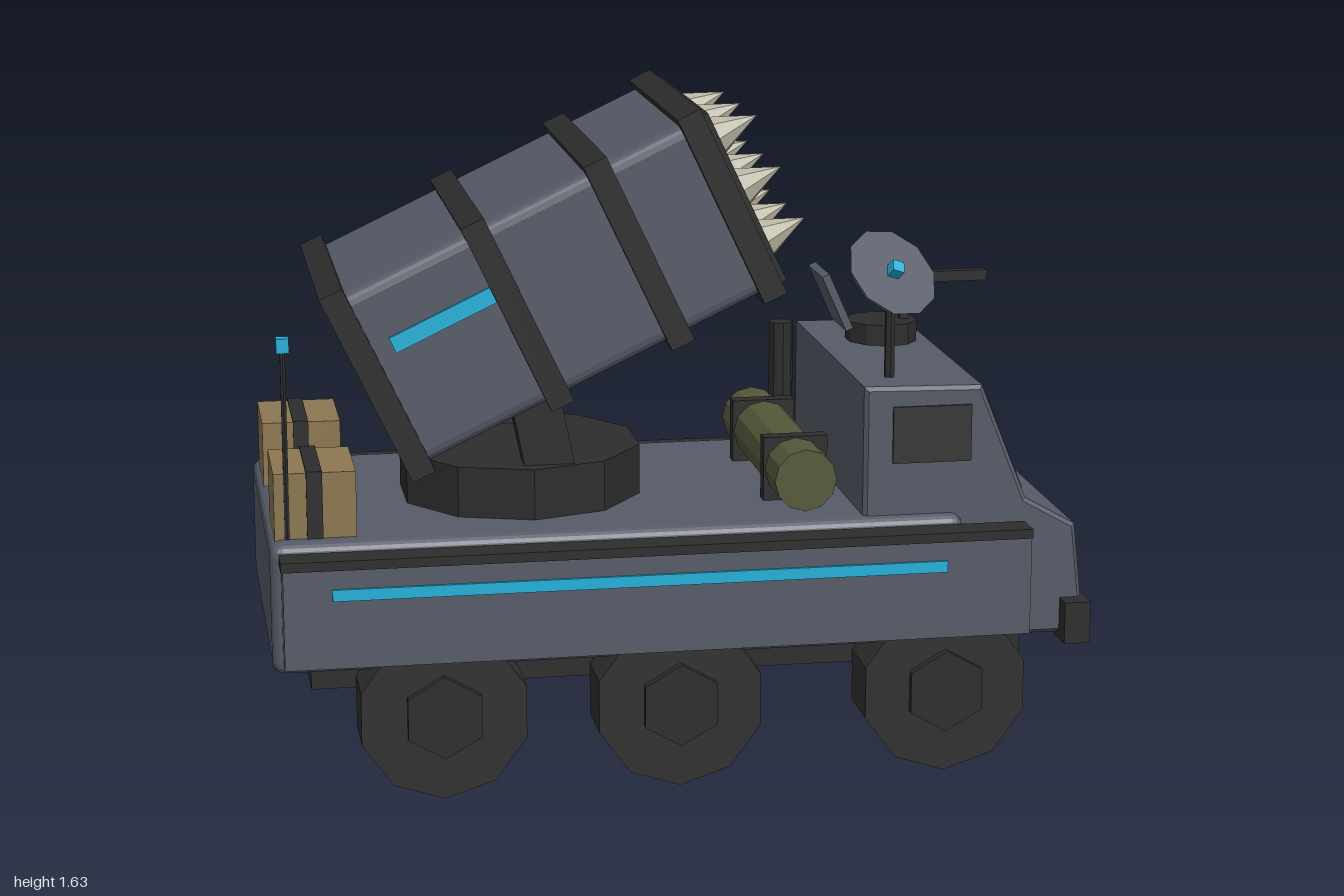
import * as THREE from 'three';
import { RoundedBoxGeometry } from 'three/addons/geometries/RoundedBoxGeometry.js';

const mat = (name, color, flatShading = true) => {
  const m = new THREE.MeshStandardMaterial({ color, flatShading });
  m.name = name;
  return m;
};

export function createModel() {
  const armour = mat('armour grey', 0x565b68);
  const dark = mat('dark metal', 0x2d2d2d);
  const rubber = mat('tyre rubber', 0x303030);
  const glass = mat('window glass', 0x353535);
  const cyan = mat('cyan light', 0x22b0d8);
  const wood = mat('crate tan', 0x8c7751);
  const olive = mat('tank olive', 0x56583a);
  const cream = mat('missile cream', 0xb8b3a0);

  const root = new THREE.Group();
  root.name = 'launcherTruck';

  const add = (name, geo, m, x = 0, y = 0, z = 0, parent = root) => {
    const mesh = new THREE.Mesh(geo, m);
    mesh.name = name;
    mesh.position.set(x, y, z);
    parent.add(mesh);
    return mesh;
  };
  // box given by its extents on each axis
  const box = (name, m, x0, x1, y0, y1, z0, z1, parent = root) =>
    add(name, new THREE.BoxGeometry(x1 - x0, y1 - y0, z1 - z0), m,
      (x0 + x1) / 2, (y0 + y1) / 2, (z0 + z1) / 2, parent);
  const cyl = (r, h, sides, r2 = r) => new THREE.CylinderGeometry(r, r2, h, sides);

  // hull and chassis
  add('hull', new RoundedBoxGeometry(1.68, 0.32, 0.88, 2, 0.03), armour, -0.16, 0.47, 0);
  box('chassis', dark, -0.905, 0.855, 0.24, 0.33, -0.335, 0.335);

  // cab and nose, one side profile swept across the width
  const profile = new THREE.Shape([
    [0.445, 0.6], [0.445, 0.94], [0.72, 0.935], [0.835, 0.65], [0.96, 0.58],
    [0.98, 0.4], [0.96, 0.32], [0.6, 0.32], [0.6, 0.6],
  ].map(([x, y]) => new THREE.Vector2(x, y)));
  add('cab', new THREE.ExtrudeGeometry(profile, {
    depth: 0.79, bevelEnabled: true, bevelSize: 0.01, bevelThickness: 0.01, bevelSegments: 1,
  }), armour, 0, 0, -0.395);

  // windscreen lies on the slope of the cab
  const windscreen = add('windscreen', new THREE.BoxGeometry(0.012, 0.275, 0.7), glass, 0.79, 0.797, 0);
  windscreen.rotation.z = Math.atan2(0.115, 0.285);
  box('windscreenLight', cyan, 0.835, 0.855, 0.66, 0.676, -0.3, 0.3);
  box('grille', dark, 0.95, 0.99, 0.4, 0.51, -0.163, 0.163);
  box('bumper', dark, 0.935, 1, 0.295, 0.4, -0.455, 0.455);

  // sides
  for (const s of [-1, 1]) {
    const side = (name, m, x0, x1, y0, y1, za, zb) =>
      box(name, m, x0, x1, y0, y1, Math.min(s * za, s * zb), Math.max(s * za, s * zb));
    side('sideSkirt', armour, -0.975, 0.83, 0.345, 0.59, 0.43, 0.51);
    side('skirtRail', dark, -0.98, 0.83, 0.587, 0.61, 0.44, 0.518);
    side('sideStripe', cyan, -0.86, 0.62, 0.512, 0.54, 0.509, 0.517);
    side('sideWindow', glass, 0.505, 0.7, 0.76, 0.9, 0.4, 0.412);
    side('headlight', cyan, 0.965, 0.99, 0.495, 0.535, 0.22, 0.34);

    // wheels with hexagonal hubs
    for (const x of [-0.6, -0.03, 0.625]) {
      const wheel = new THREE.Group();
      wheel.name = 'wheel';
      wheel.position.set(x, 0.208, s * 0.415);
      wheel.rotation.x = Math.PI / 2;
      root.add(wheel);
      add('tyre', cyl(0.208, 0.15, 10), rubber, 0, 0, 0, wheel);
      add('hub', cyl(0.102, 0.19, 6), dark, 0, 0, 0, wheel);
    }

    // strapped crates on the rear deck
    side('crate', wood, -0.985, -0.79, 0.625, 0.79, 0.135, 0.38);
    side('crateStrap', dark, -0.908, -0.87, 0.625, 0.794, 0.13, 0.386);
  }

  // fuel tank across the deck, with brackets
  add('fuelTank', cyl(0.077, 0.69, 12), olive, 0.305, 0.71, 0).rotation.x = Math.PI / 2;
  for (const z of [-0.2, 0.2]) box('tankBracket', dark, 0.225, 0.385, 0.62, 0.79, z - 0.02, z + 0.02);
  add('exhaust', cyl(0.032, 0.335, 8), dark, 0.39, 0.787, -0.375);

  // antenna
  add('antenna', cyl(0.007, 0.48, 6), dark, -0.955, 0.86, 0.378);
  add('antennaTip', new THREE.BoxGeometry(0.03, 0.035, 0.03), cyan, -0.955, 1.1, 0.378);

  // turntable and arms
  add('turntable', cyl(0.305, 0.13, 10), dark, -0.355, 0.69, 0);
  for (const z of [-0.22, 0.22]) {
    add('supportArm', new THREE.BoxGeometry(0.12, 0.32, 0.08), dark, -0.333, 0.86, z).rotation.z = 0.2;
  }

  // tilted missile pod
  const pod = new THREE.Group();
  pod.name = 'missilePod';
  pod.position.set(-0.308, 1.19, 0);
  pod.rotation.z = 0.443;
  root.add(pod);
  add('podBody', new RoundedBoxGeometry(0.97, 0.455, 0.695, 2, 0.03), armour, 0, 0, 0, pod);
  for (const x of [-0.47, -0.1, 0.222, 0.47]) {
    // hollow band round the pod
    for (const s of [-1, 1]) {
      add('bandSide', new THREE.BoxGeometry(0.06, 0.495, 0.04), dark, x, 0, s * 0.345, pod);
      add('bandEdge', new THREE.BoxGeometry(0.06, 0.04, 0.69), dark, x, s * 0.2275, 0, pod);
    }
  }
  box('podFrontPlate', dark, 0.47, 0.515, -0.225, 0.225, -0.335, 0.335, pod);
  box('podRearPlate', armour, -0.495, -0.47, -0.215, 0.215, -0.33, 0.33, pod);
  for (const s of [-1, 1]) {
    box('podStripe', cyan, -0.395, -0.125, 0.05, 0.09, s * 0.351 - 0.005, s * 0.351 + 0.005, pod);
  }
  for (const y of [-0.14, 0, 0.14]) {
    for (const z of [-0.21, 0, 0.21]) {
      add('missileTip', new THREE.ConeGeometry(0.055, 0.12, 8), cream, 0.573, y, z, pod).rotation.z = -Math.PI / 2;
    }
  }

  // radar dish facing up and outward
  add('radarPost', cyl(0.013, 0.25, 6), dark, 0.522, 1.07, 0.288);
  const dish = new THREE.Group();
  dish.name = 'radarDish';
  dish.position.set(0.522, 1.2, 0.282);
  dish.quaternion.setFromUnitVectors(new THREE.Vector3(0, 1, 0), new THREE.Vector3(0.33, 0.64, 0.69).normalize());
  root.add(dish);
  add('dishPlate', cyl(0.122, 0.025, 10, 0.105), armour, 0, 0, 0, dish);
  add('dishEmitter', new THREE.BoxGeometry(0.03, 0.035, 0.03), cyan, 0, 0.025, 0, dish);

  // roof hatch and gun
  add('hatchRing', cyl(0.092, 0.055, 10), dark, 0.605, 0.973, -0.15);
  add('hatchLid', new THREE.BoxGeometry(0.02, 0.155, 0.17), armour, 0.472, 1.063, -0.15).rotation.z = 0.42;
  box('gunPost', dark, 0.652, 0.676, 0.99, 1.1, -0.162, -0.138);
  box('gunReceiver', dark, 0.6, 0.685, 1.085, 1.135, -0.18, -0.12);
  box('gunBarrel', dark, 0.68, 0.88, 1.095, 1.122, -0.164, -0.136);

  return root;
}
